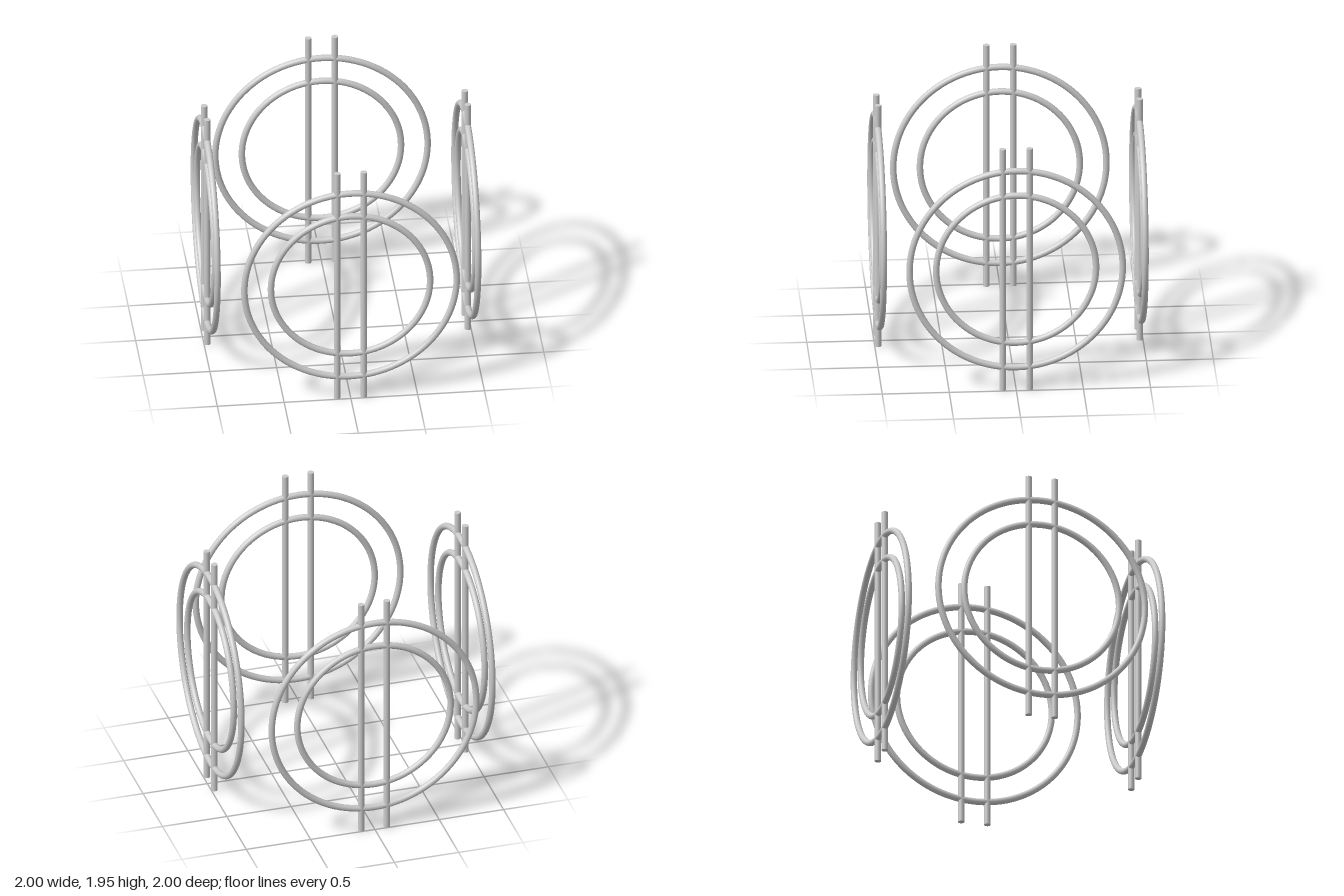
import * as THREE from 'three';

const HEIGHT = 1.952;   // rod length
const TUBE = 0.0244;    // radius of rods and ring tubes
const OFFSET = 0.9756;  // distance of each panel from the centre

export function createModel() {
  const model = new THREE.Group();
  const material = new THREE.MeshStandardMaterial({ color: 0xcccccc });
  const rodGeometry = new THREE.CylinderGeometry(TUBE, TUBE, HEIGHT, 24);
  const ringGeometries = {
    outerRing: new THREE.TorusGeometry(0.795, TUBE, 16, 96),
    innerRing: new THREE.TorusGeometry(0.596, TUBE, 16, 96),
  };

  // One upright panel: two concentric rings crossed by a pair of rods
  function createPanel(name) {
    const panel = new THREE.Group();
    panel.name = name;
    for (const [ringName, geometry] of Object.entries(ringGeometries)) {
      const ring = new THREE.Mesh(geometry, material);
      ring.name = ringName;
      panel.add(ring);
    }
    for (const [rodName, x] of [['leftRod', 0.1], ['rightRod', -0.1]]) {
      const rod = new THREE.Mesh(rodGeometry, material);
      rod.name = rodName;
      rod.position.x = x;
      panel.add(rod);
    }
    return panel;
  }

  // Four panels standing around a square, each facing outwards
  ['frontPanel', 'leftPanel', 'backPanel', 'rightPanel'].forEach((name, i) => {
    const angle = i * Math.PI / 2;
    const panel = createPanel(name);
    panel.position.set(Math.sin(angle) * OFFSET, HEIGHT / 2, Math.cos(angle) * OFFSET);
    panel.rotation.y = angle;
    model.add(panel);
  });
  return model;
}
